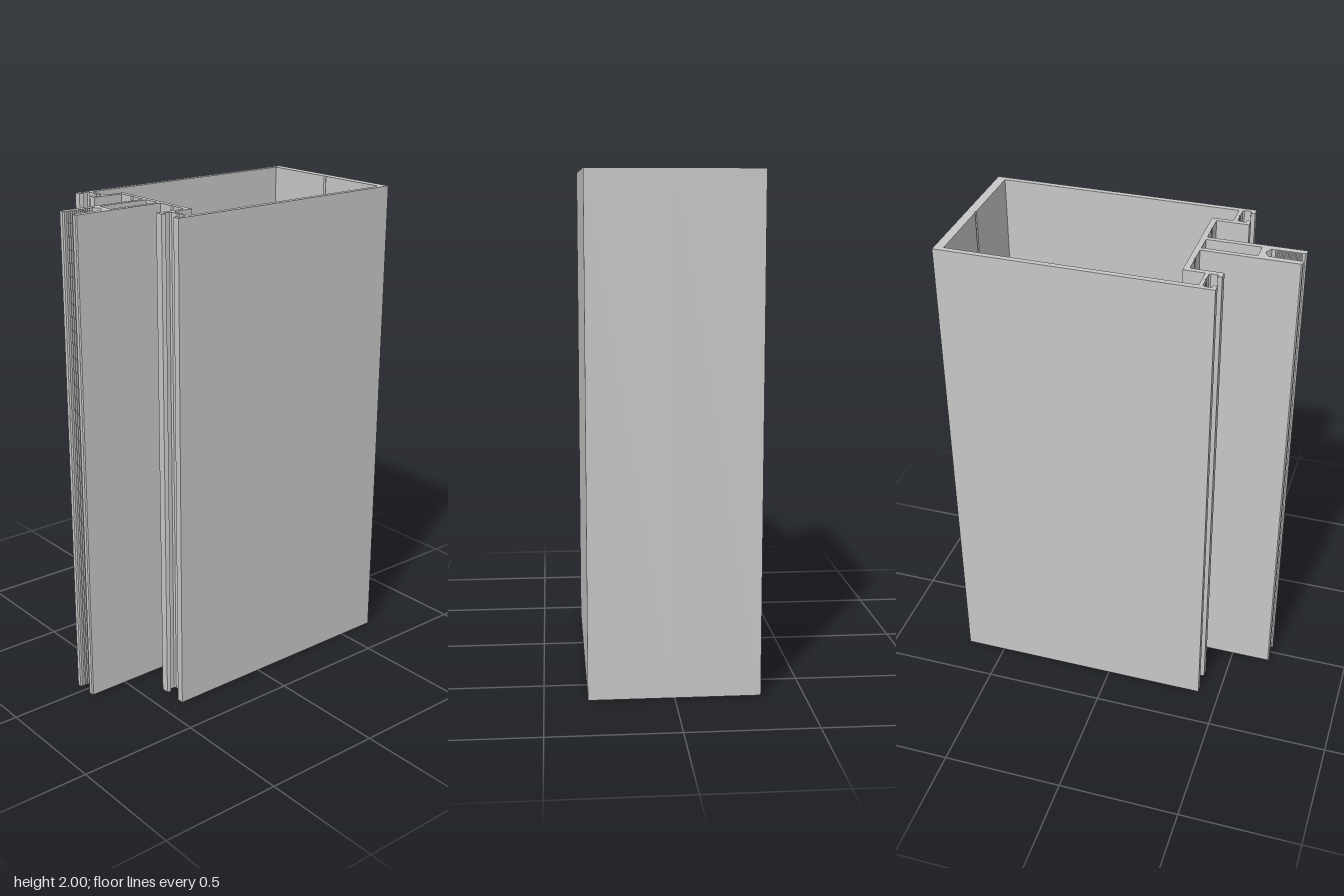
import * as THREE from 'three';

const HEIGHT = 2;

// Completes a right-hand half outline (x, z) by mirroring it across x = 0,
// and returns it counter-clockwise.
function mirrored(half) {
  const left = half.filter(([x]) => x > 0).reverse().map(([x, z]) => [-x, z]);
  return [...half, ...left].map(([x, z]) => new THREE.Vector2(x, -z)).reverse();
}

// Small V-groove centred on x, cut from the level z to the level tip.
const groove = (x, z, tip) => [[x + 0.006, z], [x, tip], [x - 0.006, z]];

// Fine grip teeth along the inside of the front fins.
function teeth(from, to, count) {
  const points = [];
  const step = (from - to) / count;
  for (let i = 0; i < count; i++) {
    points.push([0.031, from - i * step], [0.028, from - (i + 0.5) * step]);
  }
  return points;
}

export function createModel() {
  const aluminium = new THREE.MeshStandardMaterial({ color: 0xc7c7c7 });
  aluminium.name = 'aluminium grey';

  const outline = mirrored([
    [0, -0.666], [0.333, -0.666], [0.333, 0.411],
    // side channel with hooked lips
    [0.304, 0.411], [0.299, 0.395], [0.307, 0.393], [0.31, 0.397], [0.316, 0.393],
    [0.316, 0.366], [0.31, 0.36],
    ...groove(0.265, 0.36, 0.355),
    [0.226, 0.36], [0.22, 0.366], [0.22, 0.393], [0.226, 0.397], [0.229, 0.393],
    [0.237, 0.395], [0.232, 0.411],
    // recessed front wall
    [0.2, 0.411], [0.2, 0.283],
    ...groove(0.128, 0.283, 0.278),
    // front fin
    [0.055, 0.283], [0.055, 0.661], [0.051, 0.666], [0.034, 0.666], [0.03, 0.66],
    ...teeth(0.65, 0.545, 12),
    [0.03, 0.535], [0.005, 0.52], [0, 0.52],
  ]);

  const mainChamber = mirrored([
    [0, -0.634], [0.006, -0.629], [0.311, -0.629], [0.311, 0.345],
    [0.22, 0.345], [0.22, 0.261], [0.006, 0.261], [0, 0.266],
  ]);

  const stemChamber = mirrored([[0.035, 0.283], [0.035, 0.497]]);

  const section = new THREE.Shape(outline);
  section.holes.push(new THREE.Path(mainChamber), new THREE.Path(stemChamber));

  // Extrude the section and stand it upright.
  const geometry = new THREE.ExtrudeGeometry(section, {
    depth: HEIGHT, bevelEnabled: false, curveSegments: 1,
  });
  geometry.rotateX(-Math.PI / 2);

  const profile = new THREE.Mesh(geometry, aluminium);
  profile.name = 'extrudedProfile';

  const model = new THREE.Group();
  model.name = 'mullionProfile';
  model.add(profile);
  return model;
}
